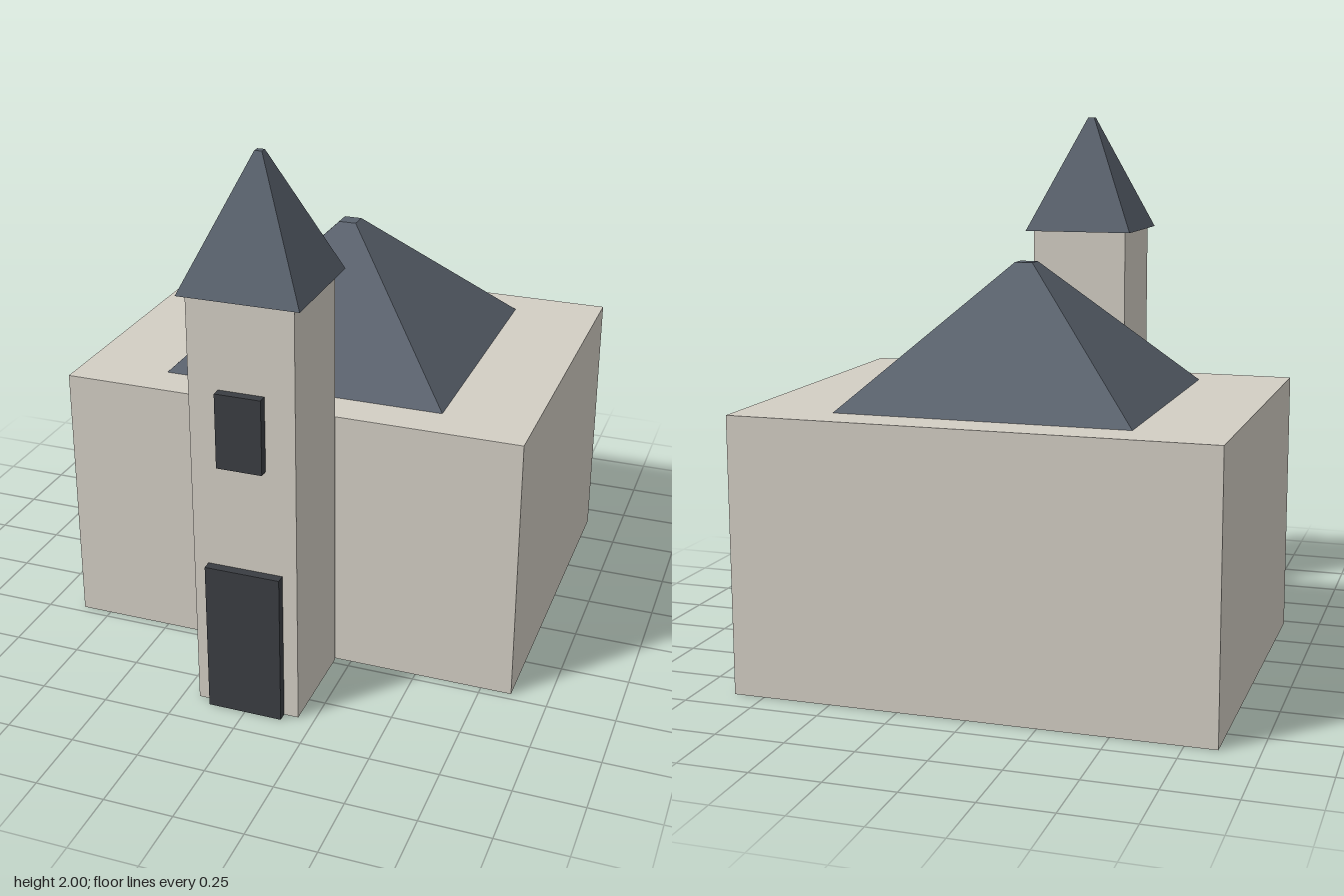
import * as THREE from 'three';

const wall = new THREE.MeshStandardMaterial({ color: 0xd3cec4 });
const slate = new THREE.MeshStandardMaterial({ color: 0x5a626d });
const dark = new THREE.MeshStandardMaterial({ color: 0x3a3d42 });

// Box standing on height y
function block(name, material, [w, h, d], [x, y, z]) {
  const mesh = new THREE.Mesh(new THREE.BoxGeometry(w, h, d), material);
  mesh.name = name;
  mesh.position.set(x, y + h / 2, z);
  return mesh;
}

// Square pyramid with a small flat tip: a box whose top corners are drawn in
function hipRoof(name, half, tip, height, y, z) {
  const geometry = new THREE.BoxGeometry(half * 2, height, half * 2);
  const p = geometry.attributes.position;
  for (let i = 0; i < p.count; i++) {
    if (p.getY(i) > 0) {
      p.setX(i, Math.sign(p.getX(i)) * tip);
      p.setZ(i, Math.sign(p.getZ(i)) * tip);
    }
  }
  geometry.computeVertexNormals();
  const mesh = new THREE.Mesh(geometry, slate);
  mesh.name = name;
  mesh.position.set(0, y + height / 2, z);
  return mesh;
}

export function createModel() {
  const church = new THREE.Group();
  church.name = 'church';

  // Main hall and its roof
  church.add(
    block('hall', wall, [1.726, 1, 1.364], [0, 0, -0.213]),
    hipRoof('hallRoof', 0.532, 0.033, 0.49, 1, -0.215)
  );

  // Bell tower, standing just clear of the hall
  church.add(
    block('tower', wall, [0.38, 1.55, 0.382], [0, 0, 0.672]),
    hipRoof('spire', 0.216, 0.013, 0.45, 1.55, 0.667)
  );

  // Door and window panels on the tower front
  church.add(
    block('door', dark, [0.274, 0.565, 0.034], [0, 0, 0.88]),
    block('window', dark, [0.165, 0.273, 0.034], [0, 0.957, 0.88])
  );

  return church;
}
